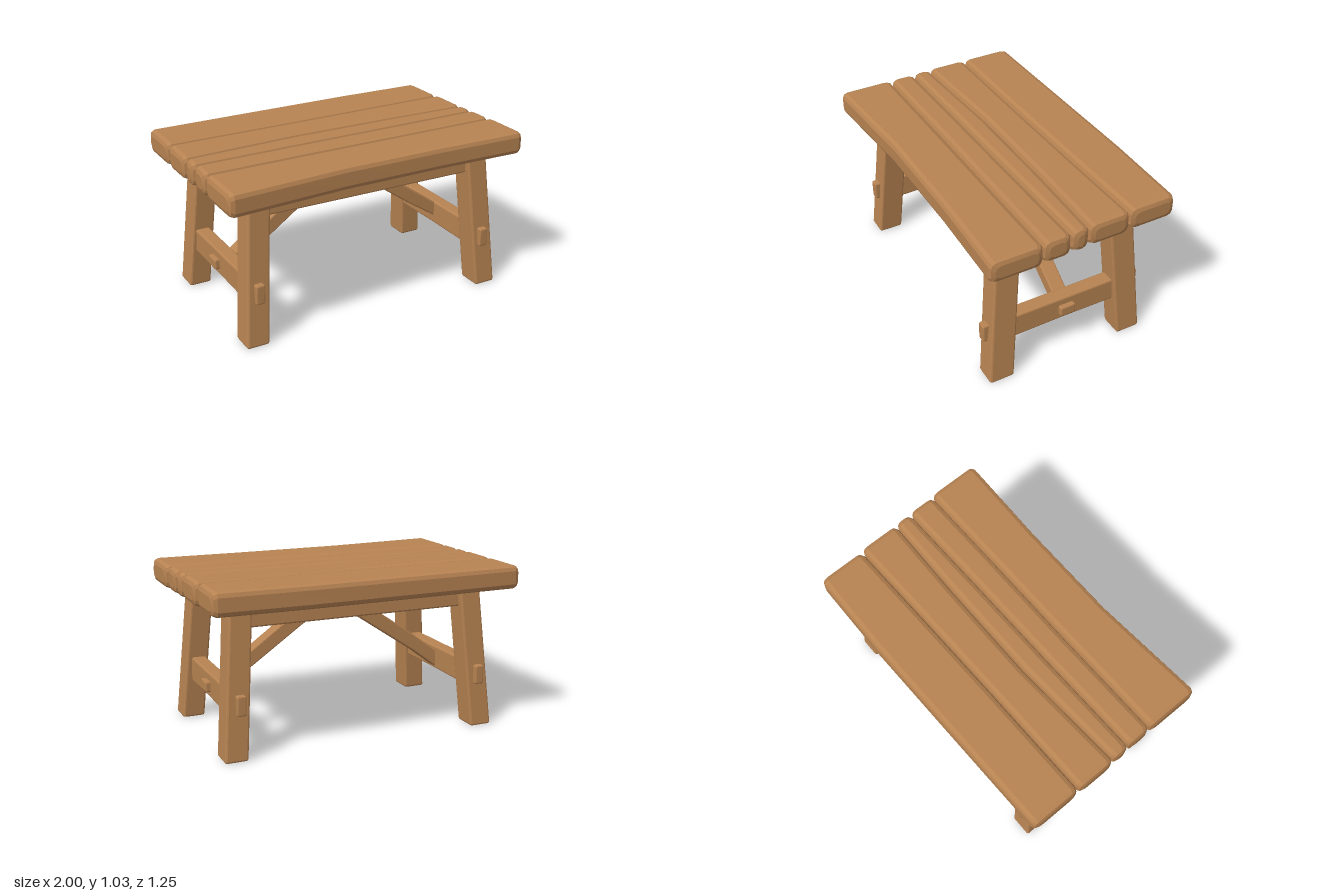
import * as THREE from 'three';
import { toCreasedNormals } from 'three/addons/utils/BufferGeometryUtils.js';

const AXES = { x: [0, 1, 2], y: [1, 2, 0], z: [2, 0, 1] };

// Section of a beam at position t, interpolated between its stations
function sectionAt(stations, t) {
  let i = 0;
  while (i < stations.length - 2 && t > stations[i + 1][0]) i++;
  const p = stations[i], q = stations[i + 1];
  const k = (t - p[0]) / (q[0] - p[0]);
  return p.map((v, n) => v + (q[n] - v) * k);
}

// Timber with softened edges, running along one axis.
// station: [position, centreA, centreB, halfA, halfB]; (A, B) is (y,z), (z,x) or (x,y)
function timber(axis, stations, r) {
  const [ai, bi, ci] = [AXES[axis][0], AXES[axis][1], AXES[axis][2]];
  const t0 = stations[0][0], t1 = stations[stations.length - 1][0];
  const rings = [
    [t0, r], [t0 + 0.3 * r, 0.3 * r], [t0 + r, 0],
    ...stations.slice(1, -1).map((s) => [s[0], 0]),
    [t1 - r, 0], [t1 - 0.3 * r, 0.3 * r], [t1, r],
  ];
  const pos = [], index = [], N = 12;
  for (const [t, inset] of rings) {
    const [, a, b, ha, hb] = sectionAt(stations, t);
    const h = ha - inset, k = hb - inset;
    [[1, 1], [-1, 1], [-1, -1], [1, -1]].forEach(([sa, sb]) => {
      const corner = [[h, k - r], [h - 0.3 * r, k - 0.3 * r], [h - r, k]];
      if (sa * sb < 0) corner.reverse();
      for (const [u, v] of corner) {
        const p = [0, 0, 0];
        p[ai] = t;
        p[bi] = a + sa * u;
        p[ci] = b + sb * v;
        pos.push(...p);
      }
    });
  }
  for (let i = 0; i < rings.length - 1; i++) {
    for (let j = 0; j < N; j++) {
      const a = i * N + j, b = i * N + (j + 1) % N;
      index.push(a, b, b + N, a, b + N, a + N);
    }
  }
  const last = (rings.length - 1) * N;
  for (let j = 1; j < N - 1; j++) {
    index.push(0, j + 1, j, last, last + j, last + j + 1);
  }
  const geo = new THREE.BufferGeometry();
  geo.setAttribute('position', new THREE.Float32BufferAttribute(pos, 3));
  geo.setIndex(index);
  return toCreasedNormals(geo, 0.2);
}

export function createModel() {
  const model = new THREE.Group();
  model.name = 'woodenTable';
  const wood = new THREE.MeshStandardMaterial({ color: 0xb78352 });
  wood.name = 'warm wood';

  const add = (name, axis, stations, r) => {
    const mesh = new THREE.Mesh(timber(axis, stations, r), wood);
    mesh.name = name;
    model.add(mesh);
  };

  // Uneven table-top planks: back and front edge z at four places along x
  const planks = [
    ['backPlank', -1, 0.97, [-0.605, -0.62, -0.632, -0.625], [-0.282, -0.292, -0.306, -0.322]],
    ['innerBackPlank', -1, 0.98, [-0.274, -0.284, -0.298, -0.314], [-0.018, -0.062, -0.062, -0.05]],
    ['middlePlank', -0.995, 0.985, [-0.012, -0.053, -0.054, -0.044], [0.102, 0.086, 0.076, 0.064]],
    ['innerFrontPlank', -0.99, 0.99, [0.11, 0.094, 0.084, 0.072], [0.268, 0.256, 0.252, 0.246]],
    ['frontPlank', -0.99, 1, [0.276, 0.266, 0.26, 0.252], [0.625, 0.572, 0.568, 0.582]],
  ];
  for (const [name, x0, x1, back, front] of planks) {
    const xs = [x0, -0.25, 0.4, x1];
    add(name, 'x', xs.map((x, i) =>
      [x, 0.957, (back[i] + front[i]) / 2, 0.073, (front[i] - back[i]) / 2]), 0.032);
  }

  for (const sx of [1, -1]) {
    const side = sx > 0 ? 'left' : 'right';
    const footX = sx > 0 ? 0.82 : -0.808;

    for (const sz of [1, -1]) {
      const end = sz > 0 ? 'Front' : 'Back';
      // Splayed leg and the through tenon showing on its outer face
      add(`${side}${end}Leg`, 'y', [
        [0, sz * 0.446, footX, 0.08, 0.071],
        [0.92, sz * 0.37, footX - sx * 0.071, 0.078, 0.069],
      ], 0.012);
      const z = [sz * 0.4, sz * 0.53].sort((a, b) => a - b);
      add(`${side}${end}Tenon`, 'z',
        z.map((t) => [t, sx * 0.784, 0.337, 0.028, 0.06]), 0.008);
    }

    // End rail under the top and lower stretcher between the legs
    add(`${side}EndRail`, 'z', [
      [-0.36, sx * 0.745, 0.842, 0.045, 0.064],
      [0.36, sx * 0.745, 0.842, 0.045, 0.064],
    ], 0.01);
    add(`${side}Stretcher`, 'z', [
      [-0.42, sx * 0.785, 0.328, 0.045, 0.078],
      [0, sx * 0.785, 0.331, 0.045, 0.076],
      [0.42, sx * 0.785, 0.33, 0.045, 0.08],
    ], 0.01);

    // Brace tenon through the stretcher
    const tx = [sx * 0.76, sx * 0.86].sort((a, b) => a - b);
    add(`${side}BraceTenon`, 'x',
      tx.map((t) => [t, 0.327, -0.015, 0.033, 0.05]), 0.008);
  }

  // Diagonal braces rising from the stretchers to the middle of the top
  add('leftBrace', 'x', [
    [-0.03, 0.868, -0.016, 0.057, 0.048],
    [0.24, 0.702, -0.016, 0.056, 0.048],
    [0.55, 0.484, -0.016, 0.053, 0.048],
    [0.76, 0.345, -0.016, 0.048, 0.048],
  ], 0.01);
  add('rightBrace', 'x', [
    [-0.76, 0.31, 0.008, 0.055, 0.048],
    [-0.58, 0.445, 0.004, 0.055, 0.048],
    [-0.2, 0.702, -0.01, 0.058, 0.048],
    [0.06, 0.88, -0.016, 0.058, 0.048],
  ], 0.01);

  // Long aprons between the legs, front and back
  for (const sz of [1, -1]) {
    add(sz > 0 ? 'frontApron' : 'backApron', 'x', [
      [-0.74, 0.838, sz * 0.37, 0.072, 0.048],
      [0.74, 0.835, sz * 0.37, 0.072, 0.048],
    ], 0.01);
  }

  return model;
}
